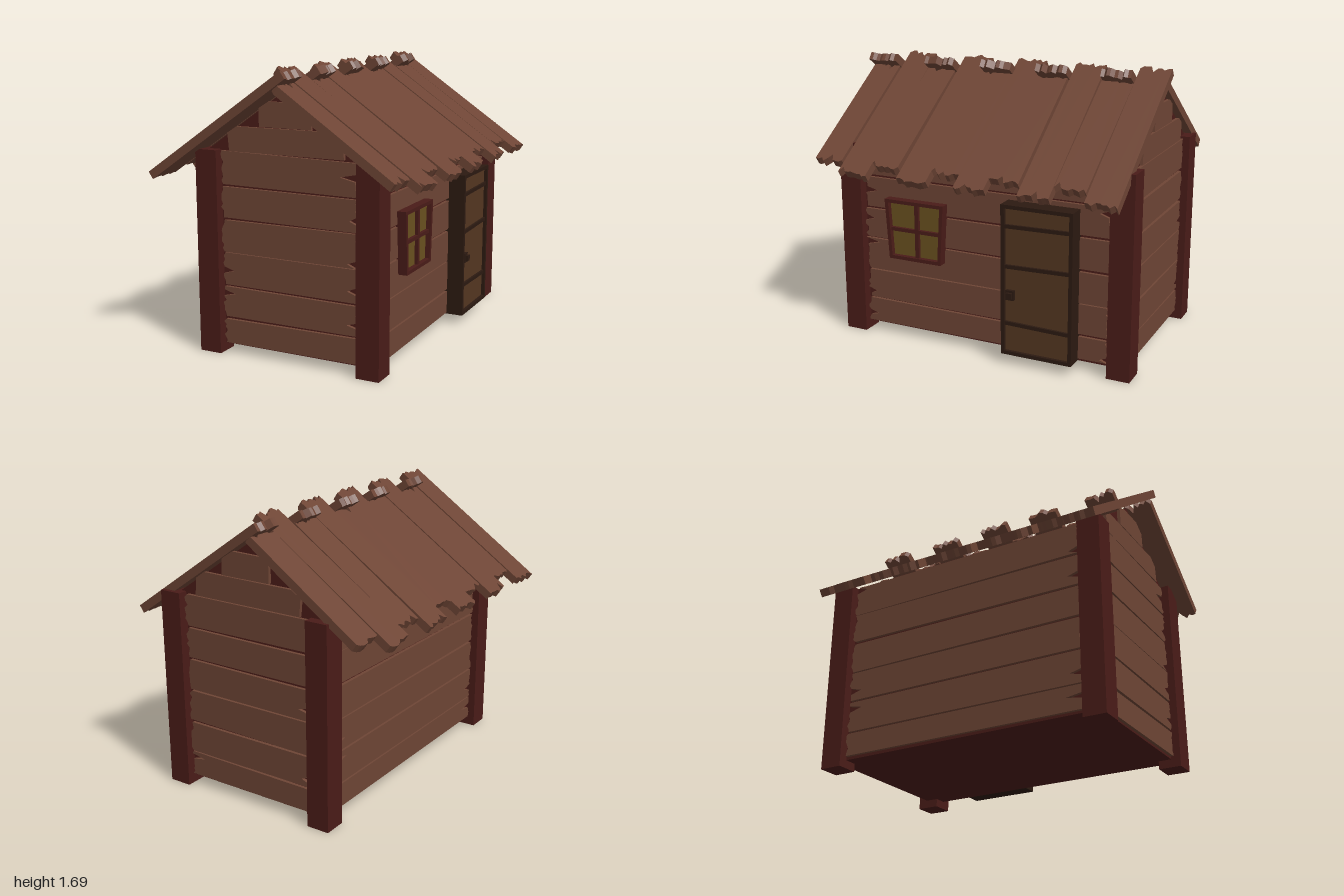
import * as THREE from 'three';

const mat = (color) => new THREE.MeshStandardMaterial({ color, flatShading: true });

// small seeded random
let seed = 7;
const rnd = () => (seed = (seed * 16807) % 2147483647) / 2147483647;
const span = (a, b) => a + (b - a) * rnd();

// ragged end edge, listed from v0 to v1; dir is the outward direction along u
function raggedEnd(u, v0, v1, dir, rough, crack) {
  const n = 9, pts = [];
  const deep = rnd() < 0.6 ? 1 + Math.floor(rnd() * (n - 2)) : -1;
  for (let i = 0; i <= n; i++) {
    const inset = i === deep ? crack * span(0.5, 1) : rough * rnd();
    pts.push(new THREE.Vector2(u - dir * inset, v0 + (v1 - v0) * (i / n)));
  }
  return pts;
}

// splintered plank: length along x, width along y (each end may differ), thickness along z
function plankGeometry(L, left, right, T, rough, crack) {
  const shape = new THREE.Shape([
    ...raggedEnd(L / 2, right[0], right[1], 1, rough, crack),
    ...raggedEnd(-L / 2, left[1], left[0], -1, rough, crack),
  ]);
  return new THREE.ExtrudeGeometry(shape, { depth: T, bevelEnabled: false });
}

export function createModel() {
  seed = 7;
  const root = new THREE.Group();
  const wood = mat(0x6e4535), red = mat(0x4a1c18), dark = mat(0x2c1a11);
  const doorWood = mat(0x543721), glass = mat(0x6a511f);

  const add = (parent, name, geo, material, x = 0, y = 0, z = 0) => {
    const m = new THREE.Mesh(geo, material);
    m.name = name;
    m.position.set(x, y, z);
    parent.add(m);
    return m;
  };
  const box = (parent, name, material, w, h, d, x, y, z) =>
    add(parent, name, new THREE.BoxGeometry(w, h, d), material, x, y, z);

  const CX = 0.0275, CZ = -0.055;

  // solid body with gable ends, showing through the plank gaps
  const profile = new THREE.Shape([
    [-0.495, 0.05], [0.55, 0.05], [0.55, 1.18], [0, 1.555], [-0.495, 1.21],
  ].map((p) => new THREE.Vector2(...p)));
  add(root, 'body', new THREE.ExtrudeGeometry(profile, { depth: 1.77, bevelEnabled: false }), red, 0, 0, -0.94);

  // corner posts
  for (const x of [-0.485, 0.54])
    for (const z of [0.82, -0.93]) box(root, 'cornerPost', red, 0.14, 1.21, 0.14, x, 0.605, z);

  // plank walls; each wall group faces its local +z
  const rows = [0.06, 0.215, 0.41, 0.61, 0.81, 1.005, 1.205];
  function wall(name, half, x, z, turn) {
    const g = new THREE.Group();
    g.name = name;
    g.position.set(x, 0, z);
    g.rotation.y = turn;
    for (let i = 0; i < rows.length - 1; i++) {
      const end = () => [rows[i] + span(0, 0.012), rows[i + 1] - span(0, 0.012)];
      add(g, 'wallPlank', plankGeometry(half * 2, end(), end(), 0.02, 0.025, 0.12), wood);
    }
    root.add(g);
    return g;
  }
  const front = wall('frontWall', 0.4425, CX, 0.83, 0);
  const back = wall('backWall', 0.4425, CX, -0.94, Math.PI);
  wall('rightWall', 0.805, 0.55, CZ, Math.PI / 2);
  wall('leftWall', 0.805, -0.495, CZ, -Math.PI / 2);

  // gable planks, cut to fit under the roof
  for (const [g, s] of [[front, 1], [back, -1]]) {
    for (const pts of [
      [[-0.35, 1.205], [0.38, 1.205], [0.37, 1.31], [0.31, 1.352], [-0.3, 1.348], [-0.36, 1.31]],
      [[-0.15, 1.355], [0.18, 1.355], [0.175, 1.45], [0.1, 1.5], [-0.09, 1.497], [-0.15, 1.46]],
    ]) {
      const shape = new THREE.Shape(pts.map(([x, y]) => new THREE.Vector2(s * x - s * CX, y)));
      add(g, 'gablePlank', new THREE.ExtrudeGeometry(shape, { depth: 0.02, bevelEnabled: false }), wood);
    }
  }

  // roof: planks alternate long and short, crossing at the ridge
  const SLOPE = 0.685, angle = Math.atan(SLOPE), T = 0.05;
  const roofZ = [-0.88, -0.68, -0.48, -0.27, -0.09, 0.09, 0.28, 0.49, 0.68, 0.885];
  for (const side of [1, -1]) {
    const slope = new THREE.Group();
    slope.name = side > 0 ? 'rightRoof' : 'leftRoof';
    roofZ.forEach((z, i) => {
      const long = (i % 2 === 0) === (side > 0);
      const outer = long ? 0.82 : 0.75, inner = long ? -0.08 : 0.03;
      const mid = (outer + inner) / 2;
      const end = () => [-span(0.092, 0.102), span(0.092, 0.102)];
      const geo = plankGeometry((outer - inner) / Math.cos(angle), end(), end(), T, 0.03, 0.06);
      geo.rotateX(-Math.PI / 2).translate(0, -T, 0).rotateY(span(-0.014, 0.014));
      const m = add(slope, 'roofPlank', geo, wood, side * mid, 1.07 + (0.82 - mid) * SLOPE, z);
      m.rotation.z = -side * angle;
    });
    root.add(slope);
  }

  // door on the right wall
  const door = new THREE.Group();
  door.name = 'door';
  root.add(door);
  box(door, 'doorPanel', doorWood, 0.09, 0.89, 0.42, 0.61, 0.515, -0.45);
  for (const z of [-0.66, -0.24]) box(door, 'doorJamb', dark, 0.125, 0.91, 0.022, 0.6125, 0.515, z);
  for (const y of [0.071, 0.959]) box(door, 'doorRail', dark, 0.125, 0.022, 0.44, 0.6125, y, -0.45);
  [[0.845, 0.02], [0.605, 0.025], [0.25, -0.02]].forEach(([y, tilt]) => {
    box(door, 'doorBatten', dark, 0.03, 0.022, 0.41, 0.655, y, -0.45).rotation.x = tilt;
  });
  box(door, 'doorHandlePlate', dark, 0.03, 0.06, 0.05, 0.66, 0.43, -0.285);
  box(door, 'doorKnob', dark, 0.03, 0.035, 0.035, 0.677, 0.43, -0.285);

  // tapered window on the right wall; local x runs towards the back
  const win = new THREE.Group();
  win.name = 'window';
  win.position.set(0.56, 0.705, 0.372);
  win.rotation.y = Math.PI / 2;
  root.add(win);
  const trapezoid = (Base, wt, wb, h) => new Base([[-wb, -h], [wb, -h], [wt, h], [-wt, h]]
    .map((p) => new THREE.Vector2(...p)));
  const frame = trapezoid(THREE.Shape, 0.2, 0.176, 0.186);
  frame.holes.push(trapezoid(THREE.Path, 0.176, 0.156, 0.165));
  add(win, 'windowFrame', new THREE.ExtrudeGeometry(frame, { depth: 0.065, bevelEnabled: false }), red);
  const pane = trapezoid(THREE.Shape, 0.18, 0.16, 0.17);
  add(win, 'windowPane', new THREE.ExtrudeGeometry(pane, { depth: 0.035, bevelEnabled: false }), glass);
  box(win, 'windowMullion', red, 0.025, 0.34, 0.03, 0.012, 0, 0.04);
  box(win, 'windowTransom', red, 0.33, 0.022, 0.03, 0, 0, 0.04);

  return root;
}
